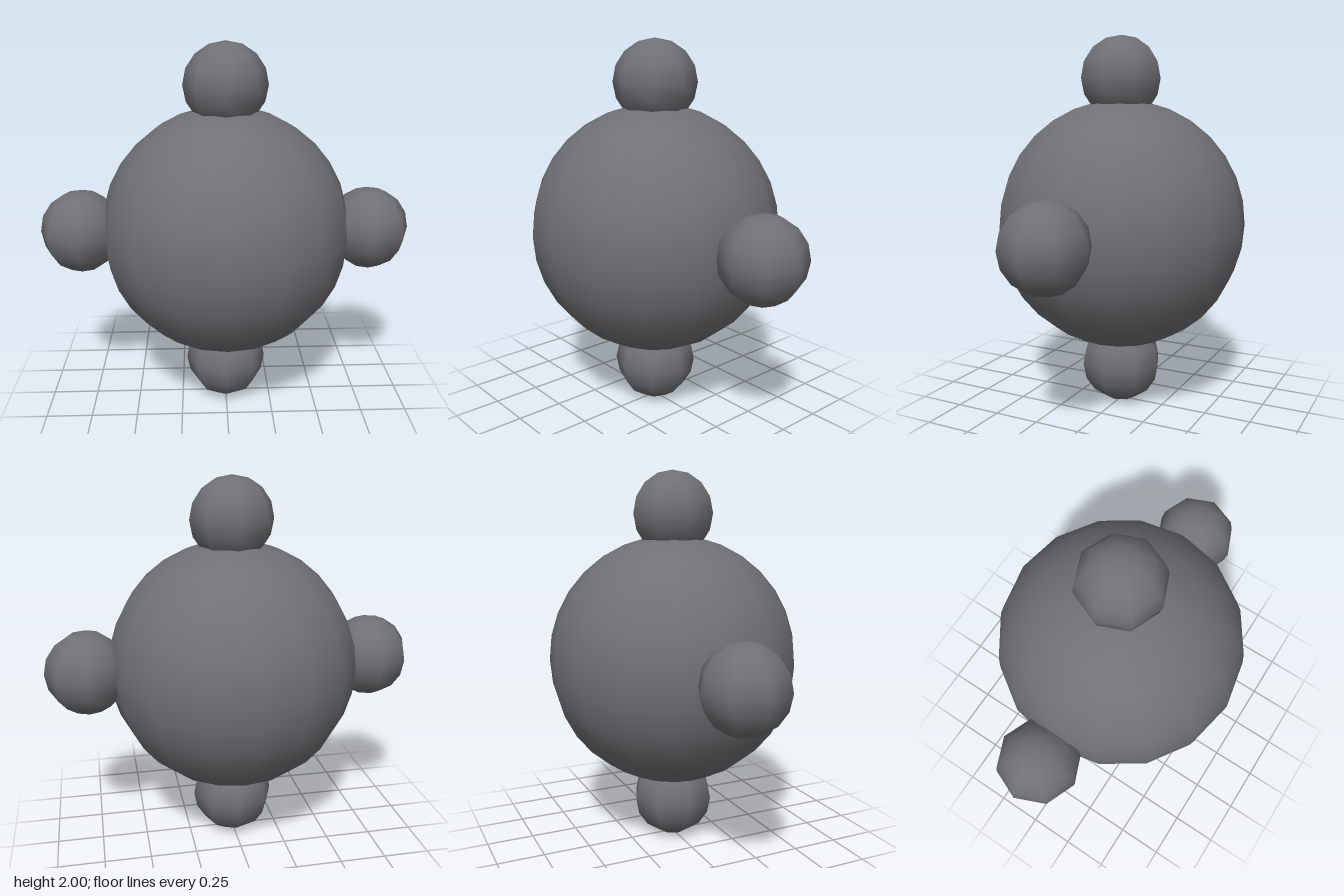
import * as THREE from 'three';

export function createModel() {
  const group = new THREE.Group();
  const material = new THREE.MeshStandardMaterial({ color: 0x707075 });

  const addBall = (name, radius, segments, x, y) => {
    const ball = new THREE.Mesh(new THREE.SphereGeometry(radius, segments, segments), material);
    ball.name = name;
    ball.position.set(x, y, 0);
    group.add(ball);
  };

  // Large central ball
  addBall('body', 2 / 3, 16, 0, 1);

  // Four small balls sunk slightly into the body
  const reach = 7 / 9;
  const knobs = [['topKnob', 0, 1], ['bottomKnob', 0, -1], ['leftKnob', 1, 0], ['rightKnob', -1, 0]];
  for (const [name, dx, dy] of knobs) addBall(name, 2 / 9, 8, dx * reach, 1 + dy * reach);

  return group;
}
